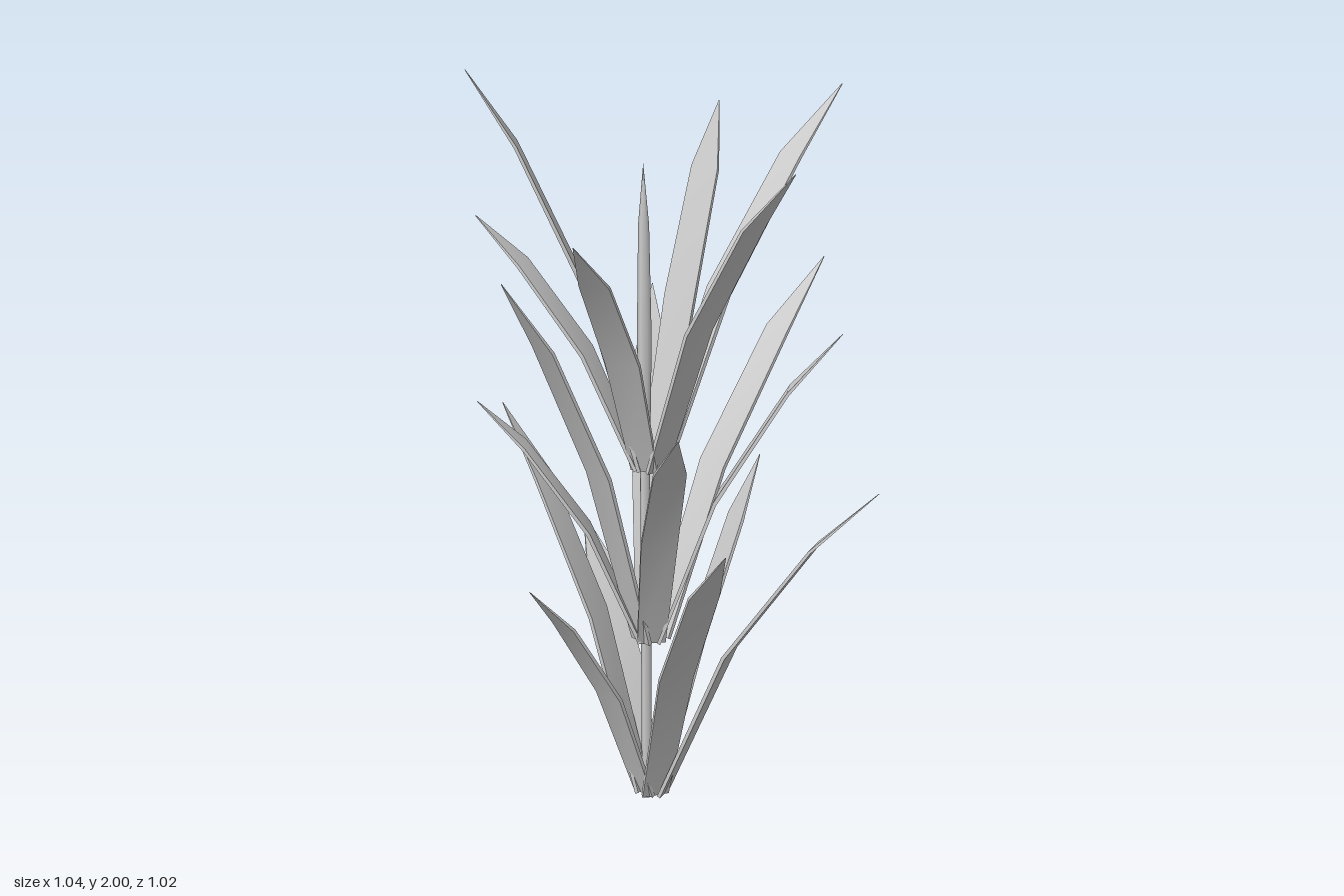
import * as THREE from 'three';
import { toCreasedNormals } from 'three/addons/utils/BufferGeometryUtils.js';

const material = new THREE.MeshStandardMaterial({ color: 0xcccccc, side: THREE.DoubleSide });

// Stations along a leaf: [outward share, height share, half width, half thickness]
const STATIONS = [
  [0.06, 0.0, 0.038, 0.005],
  [0.36, 0.47, 0.048, 0.005],
  [0.73, 0.82, 0.042, 0.004],
  [1.0, 1.0, 0.0008, 0.0008],
];

// Flat pointed blade from base to tip; bow 1 bends it outward past the shoulder, bow 0 keeps it straight
function leafGeometry(base, tip, bow) {
  const reach = new THREE.Vector3(tip.x - base.x, 0, tip.z - base.z);
  const rise = tip.y - base.y;
  const side = new THREE.Vector3(0, 1, 0).cross(reach).normalize();
  const along = tip.clone().sub(base).normalize();
  const normal = along.clone().cross(side);

  const positions = [];
  const index = [0, 2, 1, 0, 3, 2];
  STATIONS.forEach(([out, up, halfWidth, halfThick], k) => {
    const centre = base.clone().addScaledVector(reach, THREE.MathUtils.lerp(Math.max(up, 0.06), out, bow));
    centre.y += rise * up;
    // thin rectangular section
    [[1, -1], [1, 1], [-1, 1], [-1, -1]].forEach(([w, t], i) => {
      const p = centre.clone()
        .addScaledVector(side, w * halfWidth)
        .addScaledVector(normal, t * halfThick);
      positions.push(p.x, p.y, p.z);
      if (k > 0) {
        const a = (k - 1) * 4 + i, b = (k - 1) * 4 + ((i + 1) % 4);
        index.push(a, b, b + 4, a, b + 4, a + 4);
      }
    });
  });

  const geometry = new THREE.BufferGeometry();
  geometry.setAttribute('position', new THREE.Float32BufferAttribute(positions, 3));
  geometry.setIndex(index);
  return toCreasedNormals(geometry, 0.9);
}

// Three whorls of six leaves, each with its base point and leaf tips (optional fourth value: bow)
const WHORLS = [
  {
    name: 'lowerLeaves', base: [-0.1, 0.015, 0.05],
    tips: [[-0.46, 0.68, -0.16], [-0.52, 1.07, 0.12], [-0.2, 0.71, 0.45],
      [0.32, 0.88, 0.345], [0.52, 0.96, -0.065], [0.08, 0.94, -0.21, 0.4]],
  },
  {
    name: 'middleLeaves', base: [-0.085, 0.475, 0.075],
    tips: [[0.1, 1.42, -0.5], [0.37, 1.34, -0.13], [0.205, 1.17, 0.38],
      [-0.225, 1.53, 0.505], [-0.45, 1.14, 0.32], [-0.24, 1.37, -0.18]],
  },
  {
    name: 'upperLeaves', base: [-0.095, 0.95, 0.06],
    tips: [[-0.46, 2.0, 0.32], [-0.07, 1.87, -0.24, 0.2], [0.14, 1.89, -0.51],
      [0.39, 1.81, 0.15], [-0.52, 1.6, 0.215], [-0.035, 1.64, 0.47]],
  },
];

export function createModel() {
  const plant = new THREE.Group();
  plant.name = 'plant';

  for (const { name, base, tips } of WHORLS) {
    const whorl = new THREE.Group();
    whorl.name = name;
    for (const [x, y, z, bow = 1] of tips) {
      const leaf = new THREE.Mesh(
        leafGeometry(new THREE.Vector3(...base), new THREE.Vector3(x, y, z), bow), material);
      leaf.name = 'leaf';
      whorl.add(leaf);
    }
    plant.add(whorl);
  }

  // Thin upright stem that ends in a slender pointed shoot
  const profile = [[0, 0], [0.014, 0], [0.013, 0.95], [0.019, 1.3], [0.014, 1.6], [0, 1.76]];
  const stem = new THREE.Mesh(
    new THREE.LatheGeometry(profile.map(([r, y]) => new THREE.Vector2(r, y)), 6), material);
  stem.name = 'stem';
  stem.position.set(-0.105, 0, 0.062);
  plant.add(stem);

  return plant;
}
